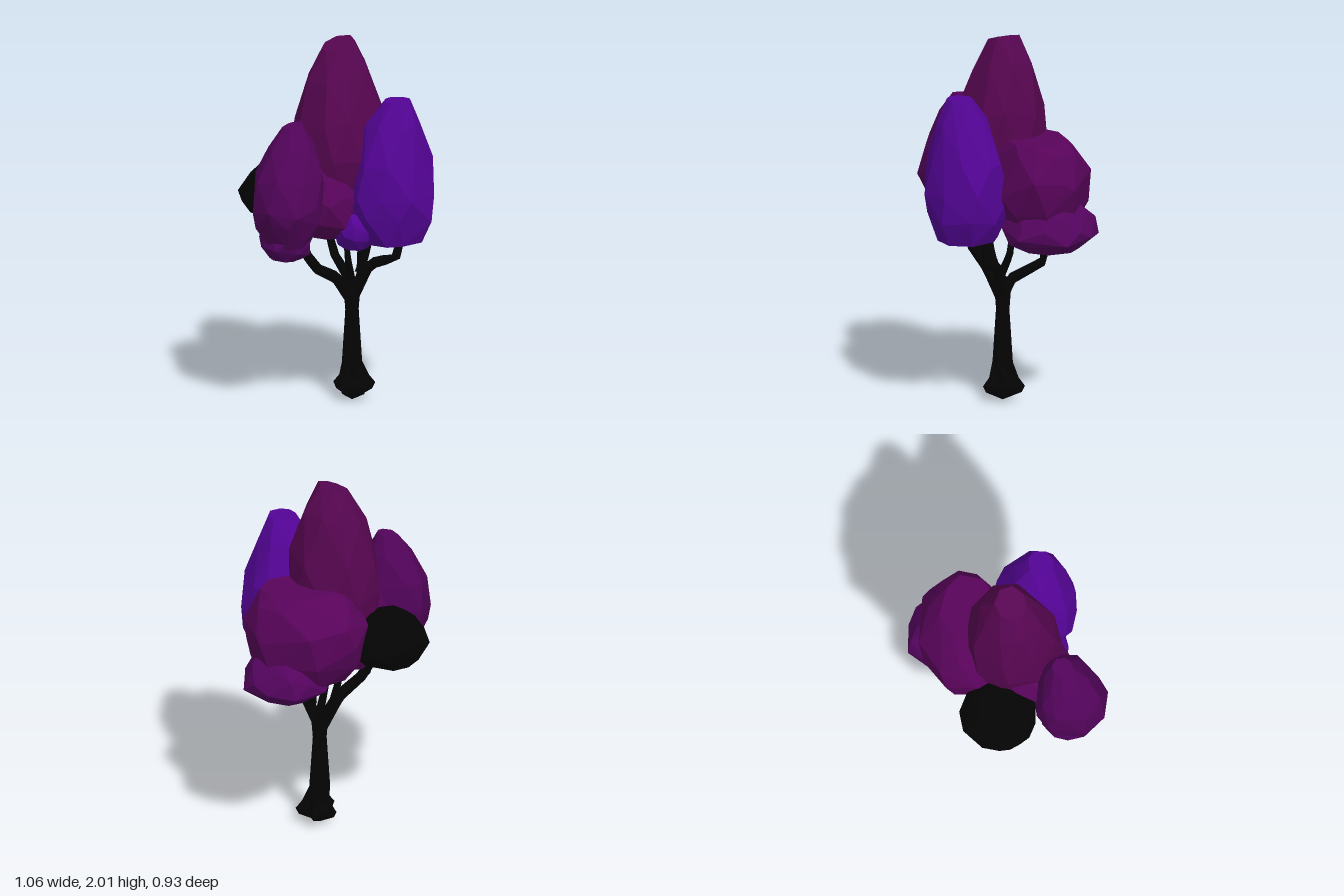
import * as THREE from 'three';
import { ConvexGeometry } from 'three/addons/geometries/ConvexGeometry.js';

const flat = (color) => new THREE.MeshStandardMaterial({ color, flatShading: true });
const bark = flat(0x040404);
const plum = 0x58045a, violet = 0x540496;

function seeded(seed) {
  return () => {
    seed = (seed * 16807) % 2147483647;
    return seed / 2147483647;
  };
}

// Faceted egg of leaves: hull of jittered rings around a waist.
// foot and tip scale the end rings, lean shifts the top, tilt slopes it, round sets how late it narrows.
function leafMass({ name, color, waist, radius, bottom, top, lean = [0, 0], tilt = [0, 0], foot = 0.6, tip = 0.4, round = 2, seed }) {
  const rand = seeded(seed * 7919 + 13);
  const [cx, cy, cz] = waist, sides = 8;
  const points = [];
  const ring = (y, scale, shift, jitter) => {
    const phase = rand();
    const drop = Math.hypot(tilt[0] * radius[0], tilt[1] * radius[1]) * scale;
    for (let i = 0; i < sides; i++) {
      const a = ((i + phase + (rand() - 0.5) * 0.5) / sides) * Math.PI * 2;
      const k = scale * (0.96 + rand() * 0.1);
      const dx = Math.cos(a) * k * radius[0], dz = Math.sin(a) * k * radius[1];
      const slope = shift * (dx * tilt[0] + dz * tilt[1] - drop);
      points.push(new THREE.Vector3(
        cx + lean[0] * shift + dx, y + slope + (rand() - 0.5) * jitter, cz + lean[1] * shift + dz));
    }
  };
  for (const t of [1, 0.5]) ring(THREE.MathUtils.lerp(cy, bottom, t), 1 - (1 - foot) * t * t, 0, 0.08 * (1 - t));
  for (const t of [0, 0.35, 0.75, 1]) {
    ring(THREE.MathUtils.lerp(cy, top, t), 1 - (1 - tip) * t ** round, t * t, 0.08 * (1 - t));
  }
  const mesh = new THREE.Mesh(new ConvexGeometry(points), flat(color));
  mesh.name = name;
  return mesh;
}

// Tapered angular branch along a few points
function branch(name, r0, r1, ...pts) {
  const path = new THREE.CatmullRomCurve3(pts.map((p) => new THREE.Vector3(...p)), false, 'catmullrom', 0.05);
  const segs = (pts.length - 1) * 3, sides = 6;
  const geo = new THREE.TubeGeometry(path, segs, r0, sides);
  const pos = geo.attributes.position, v = new THREE.Vector3();
  for (let i = 0; i < pos.count; i++) {
    const t = Math.floor(i / (sides + 1)) / segs;
    const c = path.getPointAt(t);
    v.fromBufferAttribute(pos, i).sub(c).multiplyScalar(THREE.MathUtils.lerp(1, r1 / r0, t)).add(c);
    pos.setXYZ(i, v.x, v.y, v.z);
  }
  const mesh = new THREE.Mesh(geo, bark);
  mesh.name = name;
  return mesh;
}

// Trunk with a pointed foot and star-shaped roots
function trunk() {
  const profile = [[0, 0], [0.085, 0.05], [0.1, 0.085], [0.07, 0.13], [0.056, 0.21],
    [0.037, 0.5], [0.045, 0.6], [0.025, 0.68]];
  const sides = 10;
  const geo = new THREE.LatheGeometry(profile.map((p) => new THREE.Vector2(...p)), sides);
  const pos = geo.attributes.position;
  for (let i = 0; i < pos.count; i++) {
    const side = Math.floor(i / profile.length) % sides, ring = i % profile.length;
    const root = ring > 0 && ring < 4;
    const k = root ? (side % 2 ? 0.65 : 1.18) : 1;
    pos.setXYZ(i, pos.getX(i) * k + (root ? 0.012 : 0), pos.getY(i), pos.getZ(i) * k);
  }
  geo.rotateY(0.3);
  const mesh = new THREE.Mesh(geo, bark);
  mesh.name = 'trunk';
  mesh.position.set(0.085, 0, 0.03);
  return mesh;
}

export function createModel() {
  const tree = new THREE.Group();
  tree.name = 'tree';
  const fork = [0.08, 0.56, 0.03];

  // Trunk, main branches and twigs
  tree.add(
    trunk(),
    branch('rightBranch', 0.038, 0.022, fork, [-0.02, 0.7, 0.1], [-0.15, 0.78, 0.17], [-0.22, 0.87, 0.21], [-0.24, 1, 0.22]),
    branch('rightBackTwig', 0.022, 0.014, [-0.12, 0.76, 0.15], [-0.19, 0.86, 0.1], [-0.2, 1.05, 0.02]),
    branch('leftBranch', 0.038, 0.018, fork, [0.17, 0.75, 0.06], [0.3, 0.8, 0.13], [0.34, 0.98, 0.15]),
    branch('backBranch', 0.034, 0.018, fork, [0.08, 0.66, -0.01], [0.05, 0.75, -0.19], [0, 0.98, -0.22]),
    branch('frontTwig', 0.028, 0.017, [0.13, 0.68, 0.05], [0.12, 0.8, 0.09], [0.11, 1, 0.12]),
    branch('middleTwig', 0.024, 0.014, [0.12, 0.7, 0.04], [0.18, 0.82, 0], [0.18, 0.98, -0.02]),
    branch('innerTwig', 0.022, 0.012, [0.08, 0.66, 0.04], [0.04, 0.8, 0.11], [0.01, 0.98, 0.16]),
  );

  // Central leaves
  tree.add(
    leafMass({ name: 'centreCrown', color: 0x560650, waist: [0.005, 1.38, 0.035], radius: [0.255, 0.25], bottom: 1, top: 2.01, lean: [0.005, -0.015], tilt: [0.35, -0.12], tip: 0.34, round: 2.2, seed: 3 }),
    leafMass({ name: 'lowerCrown', color: plum, waist: [-0.075, 1.13, 0.06], radius: [0.235, 0.265], bottom: 0.95, top: 1.34, tip: 0.65, seed: 5 }),
  );
  // Right leaves
  tree.add(
    leafMass({ name: 'rightLeaves', color: 0x52045a, waist: [-0.335, 1.18, 0.245], radius: [0.2, 0.2], bottom: 0.95, top: 1.61, lean: [0.04, -0.03], tilt: [0.2, 0], tip: 0.28, seed: 7 }),
    leafMass({ name: 'rightLowerLeaves', color: 0x50045e, waist: [-0.34, 0.96, 0.23], radius: [0.14, 0.14], bottom: 0.87, top: 1.1, tip: 0.7, seed: 9 }),
  );
  // Front leaves
  tree.add(
    leafMass({ name: 'frontLeaves', color: violet, waist: [0.24, 1.2, 0.235], radius: [0.25, 0.232], bottom: 0.93, top: 1.71, lean: [0.025, 0.04], foot: 0.7, tip: 0.3, round: 1.8, seed: 11 }),
    leafMass({ name: 'frontLowerLeaves', color: violet, waist: [0.045, 0.99, 0.23], radius: [0.11, 0.13], bottom: 0.9, top: 1.1, tip: 0.6, seed: 13 }),
  );
  // Back leaves
  tree.add(
    leafMass({ name: 'backLeaves', color: plum, waist: [0.17, 1.2, -0.165], radius: [0.335, 0.268], bottom: 0.97, top: 1.47, lean: [0.03, 0.03], foot: 0.7, tip: 0.62, round: 2.5, seed: 15 }),
    leafMass({ name: 'backLowerLeaves', color: 0x54045e, waist: [0.29, 0.98, -0.21], radius: [0.235, 0.25], bottom: 0.88, top: 1.13, tip: 0.6, seed: 17 }),
    leafMass({ name: 'darkLeaves', color: 0x040404, waist: [-0.27, 1.13, -0.135], radius: [0.21, 0.21], bottom: 1.03, top: 1.29, foot: 0.75, tip: 0.5, seed: 19 }),
  );
  return tree;
}
